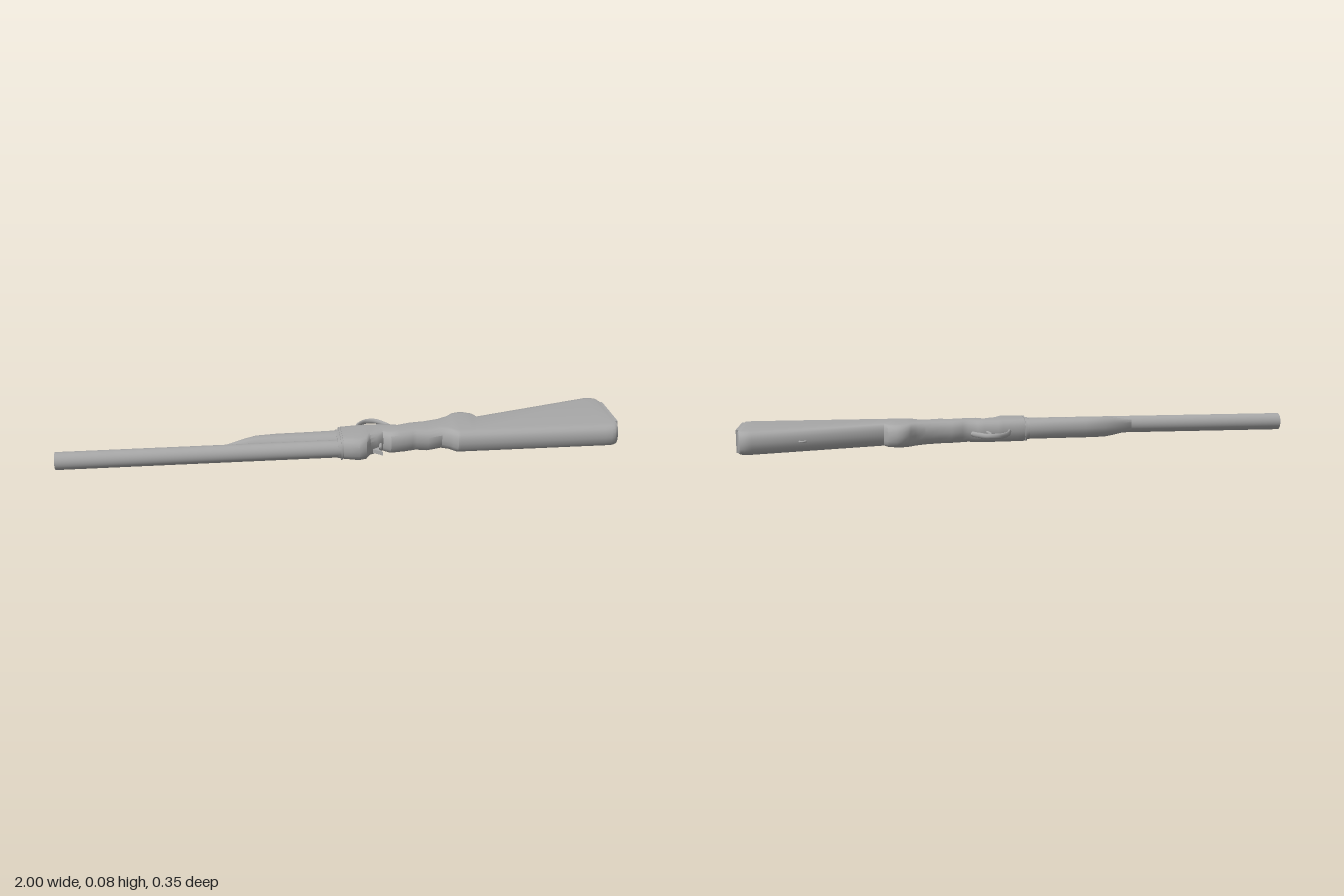
import * as THREE from 'three';
import { toCreasedNormals } from 'three/addons/utils/BufferGeometryUtils.js';

const CY = 0.047; // height of the centre plane

// Lofts rounded sections along x. Each station: [x, zMin, zMax, halfHeight]
function loft(stations, round = 0.04, power = 0.85) {
  const pos = [], index = [], arc = 9, n = arc * 2;
  const bend = (v) => Math.sign(v) * Math.abs(v) ** power;
  for (const [x, z0, z1, h] of stations) {
    const mid = (z0 + z1) / 2, half = (z1 - z0) / 2, r = Math.min(half, round);
    for (let k = 0; k < n; k++) {
      const side = k < arc ? 1 : -1;
      const t = -Math.PI / 2 + (k % arc) / (arc - 1) * Math.PI + (side < 0 ? Math.PI : 0);
      pos.push(x, CY + h * bend(Math.sin(t)), mid + side * (half - r + r * Math.abs(bend(Math.cos(t)))));
    }
  }
  const last = stations.length - 1;
  for (let i = 0; i < last; i++) {
    for (let k = 0; k < n; k++) {
      const a = i * n + k, b = i * n + (k + 1) % n, c = b + n, d = a + n;
      index.push(a, d, c, a, c, b);
    }
  }
  // end caps
  for (const [i, flip] of [[0, false], [last, true]]) {
    const [x, z0, z1] = stations[i], centre = pos.length / 3;
    pos.push(x, CY, (z0 + z1) / 2);
    for (let k = 0; k < n; k++) {
      const a = i * n + k, b = i * n + (k + 1) % n;
      index.push(centre, flip ? b : a, flip ? a : b);
    }
  }
  const g = new THREE.BufferGeometry();
  g.setAttribute('position', new THREE.Float32BufferAttribute(pos, 3));
  g.setIndex(index);
  return toCreasedNormals(g, 0.7);
}

// Reads a z value off an outline of [x, z] points
function sample(line, x) {
  for (let i = 1; i < line.length; i++) {
    const [xa, za] = line[i - 1], [xb, zb] = line[i];
    if (x <= xb) return za + (zb - za) * Math.max(0, (x - xa) / (xb - xa));
  }
  return line[line.length - 1][1];
}

// Lofts between two outlines, using the stations of both
function between(lower, upper, height, round) {
  const xs = [...new Set([...lower, ...upper].map((p) => p[0]))].sort((a, b) => a - b);
  return loft(xs.map((x) => [x, sample(lower, x), sample(upper, x), height(x)]), round);
}

export function createModel() {
  const model = new THREE.Group();
  const grey = new THREE.MeshStandardMaterial({ color: 0xa8a8a8 });
  grey.name = 'grey';
  const add = (name, geometry, x = 0, y = 0, z = 0) => {
    const mesh = new THREE.Mesh(geometry, grey);
    mesh.name = name;
    mesh.position.set(x, y, z);
    model.add(mesh);
    return mesh;
  };

  // barrel
  const barrel = add('barrel', new THREE.CylinderGeometry(0.031, 0.031, 0.985, 40), -0.5075, CY, 0.113);
  barrel.rotation.z = Math.PI / 2;

  // fore-end below the barrel
  add('foreEnd', between(
    [[-0.42, 0.082], [-0.385, 0.062], [-0.35, 0.047], [-0.31, 0.032], [-0.235, 0.02], [-0.12, 0.016], [-0.025, 0.01]],
    [[-0.42, 0.092], [-0.385, 0.096], [-0.025, 0.102]],
    (x) => 0.02 + 0.018 * Math.min(1, (x + 0.42) / 0.1), 0.045));

  // collar between barrel and receiver
  add('collar', loft([[-0.026, 0.0, 0.143, 0.036], [-0.006, 0.0, 0.143, 0.036]]));
  add('flange', loft([[-0.015, -0.008, 0.147, 0.041], [-0.009, -0.008, 0.147, 0.041]]));

  // receiver and stock in one body
  const belly = [[-0.007, -0.01], [0.085, -0.02], [0.165, -0.016], [0.2, -0.005], [0.245, -0.02],
    [0.3, -0.027], [0.355, -0.043], [0.39, -0.064], [0.415, -0.088], [0.435, -0.095], [0.455, -0.095],
    [0.485, -0.08], [0.5, -0.05], [0.94, -0.178], [0.965, -0.179], [0.982, -0.17], [0.99, -0.15]];
  const spine = [[-0.007, 0.138], [0.02, 0.146], [0.048, 0.155], [0.075, 0.146], [0.092, 0.115], [0.115, 0.105],
    [0.14, 0.085], [0.166, 0.107], [0.22, 0.1], [0.26, 0.09], [0.3, 0.1], [0.353, 0.083], [0.38, 0.096],
    [0.406, 0.122], [0.95, 0.124], [0.978, 0.122], [0.99, 0.112]];
  add('stock', between(belly, spine, () => 0.041, 0.038));

  // butt plate
  add('buttPlate', new THREE.BoxGeometry(0.02, 0.08, 0.176), 0.99, CY, -0.021);

  // trigger guard and trigger
  const tube = (points, r) => new THREE.TubeGeometry(
    new THREE.CatmullRomCurve3(points.map(([x, z]) => new THREE.Vector3(x, 0, z))), 32, r, 8);
  const guard = add('triggerGuard', tube(
    [[0.05, -0.01], [0.058, -0.05], [0.072, -0.085], [0.1, -0.11], [0.135, -0.11], [0.165, -0.082], [0.188, -0.05]], 0.006), 0, CY, 0);
  guard.scale.y = 1.6;
  add('guardTip', new THREE.SphereGeometry(0.008, 10, 8), 0.186, CY, -0.052);
  add('trigger', tube([[0.135, -0.008], [0.126, -0.035], [0.121, -0.072]], 0.005), 0, CY, 0);

  // hammer spur on the upper side of the receiver
  const spur = new THREE.Shape([[0.095, 0.145], [0.125, 0.125], [0.115, 0.145], [0.127, 0.17]]
    .map(([x, z]) => new THREE.Vector2(x, -z)));
  const hammer = add('hammerSpur', new THREE.ExtrudeGeometry(spur, { depth: 0.014, bevelEnabled: false }), 0, CY - 0.007, 0);
  hammer.rotation.x = -Math.PI / 2;
  add('hammerStem', tube([[0.13, 0.085], [0.127, 0.11], [0.12, 0.135]], 0.006), 0, CY, 0);

  // sling loop under the stock
  const loop = add('slingLoop', new THREE.TorusGeometry(0.011, 0.003, 8, 20), 0.775, CY, -0.136);
  loop.rotation.x = Math.PI / 2;

  return model;
}
